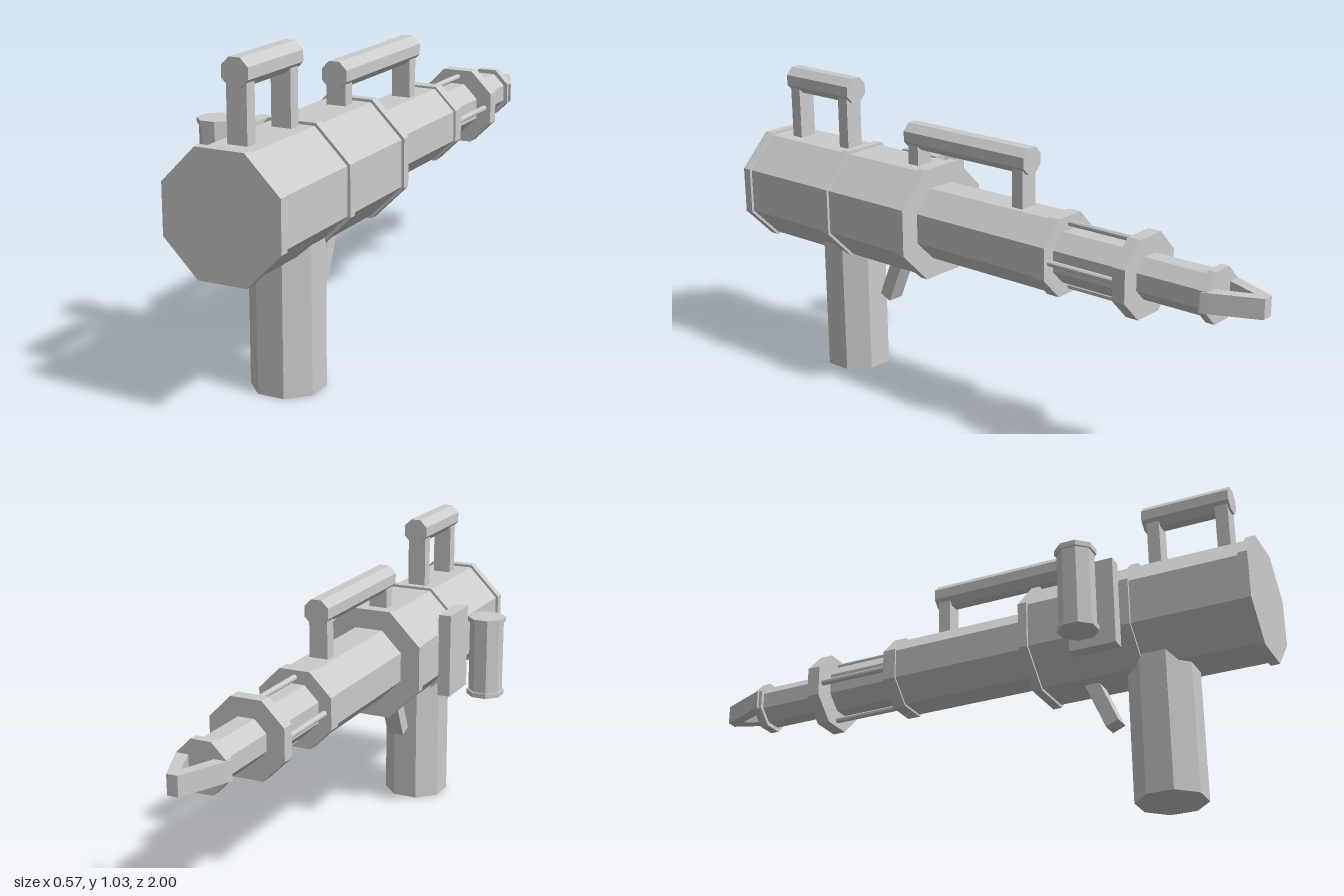
import * as THREE from 'three';

const CX = 0.0975, CY = 0.608; // barrel axis
const mat = new THREE.MeshStandardMaterial({ color: 0xcccccc, flatShading: true });

export function createModel() {
  const root = new THREE.Group();

  const add = (name, geo, x, y, z) => {
    const mesh = new THREE.Mesh(geo, mat);
    mesh.name = name;
    mesh.position.set(x, y, z);
    root.add(mesh);
    return mesh;
  };

  // Octagonal prism with flat sides facing the axes; a = centre-to-flat distance
  const octagon = (a, length) =>
    new THREE.CylinderGeometry(a / Math.cos(Math.PI / 8), a / Math.cos(Math.PI / 8), length, 8)
      .rotateY(Math.PI / 8);
  const prismZ = (name, a, z0, z1, x = CX, y = CY) =>
    add(name, octagon(a, z1 - z0).rotateX(Math.PI / 2), x, y, (z0 + z1) / 2);
  const prismY = (name, a, y0, y1, x, z) =>
    add(name, octagon(a, y1 - y0), x, (y0 + y1) / 2, z);
  const box = (name, x0, x1, y0, y1, z0, z1) =>
    add(name, new THREE.BoxGeometry(x1 - x0, y1 - y0, z1 - z0),
      (x0 + x1) / 2, (y0 + y1) / 2, (z0 + z1) / 2);

  // Body and stepped barrel
  prismZ('body', 0.179, 0.24, 0.99);
  for (const z of [0.985, 0.6, 0.252]) prismZ('bodyRing', 0.188, z - 0.015, z + 0.015);
  prismZ('barrel', 0.12, -0.27, 0.25);
  prismZ('barrelRing', 0.127, -0.295, -0.25);
  prismZ('innerBarrel', 0.083, -0.53, -0.28);
  prismZ('cageRing', 0.127, -0.595, -0.55);
  prismZ('muzzle', 0.067, -0.83, -0.58);
  prismZ('muzzleRing', 0.081, -0.848, -0.818);

  // Four rods joining the cage rings
  for (let i = 0; i < 4; i++) {
    const t = i * Math.PI / 2;
    prismZ('cageRod', 0.009, -0.56, -0.28, CX + 0.103 * Math.cos(t), CY + 0.103 * Math.sin(t));
  }

  // Pronged tip: two arms meeting in a blunt point
  const tip = new THREE.Shape([
    [-0.09, 0.83], [-0.083, 0.848], [-0.018, 1], [0.018, 1], [0.083, 0.848], [0.09, 0.83],
    [0.05, 0.83], [0, 0.953], [-0.05, 0.83],
  ].map(([x, y]) => new THREE.Vector2(x, y)));
  const tipGeo = new THREE.ExtrudeGeometry(tip, { depth: 0.064, bevelEnabled: false })
    .translate(0, 0, -0.032).rotateX(-Math.PI / 2);
  add('tip', tipGeo, CX, CY, 0);

  // Two top rails, each on a pair of posts
  const rail = (name, y, z0, z1, posts) => {
    prismZ(name, 0.042, z0, z1, CX, y);
    for (const [z, bottom] of posts)
      box(name + 'Post', CX - 0.032, CX + 0.032, bottom, y - 0.01, z - 0.021, z + 0.021);
  };
  rail('rearRail', 0.988, 0.62, 0.915, [[0.887, 0.77], [0.655, 0.77]]);
  rail('frontRail', 0.881, -0.145, 0.362, [[0.331, 0.77], [-0.112, 0.71]]);

  // Grip and slanted trigger
  prismY('grip', 0.105, 0, 0.5, CX, 0.652);
  const trigger = add('trigger', new THREE.BoxGeometry(0.06, 0.2, 0.046), CX, 0.375, 0.443);
  trigger.rotation.x = -0.4;

  // Side plate and the separate upright handle beside it
  box('sidePlate', -0.125, -0.08, 0.46, 0.752, 0.425, 0.58);
  prismY('sideHandle', 0.054, 0.47, 0.74, -0.229, 0.5);
  prismY('sideHandleCap', 0.06, 0.466, 0.483, -0.229, 0.5);
  prismY('sideHandleCap', 0.06, 0.729, 0.746, -0.229, 0.5);

  return root;
}
